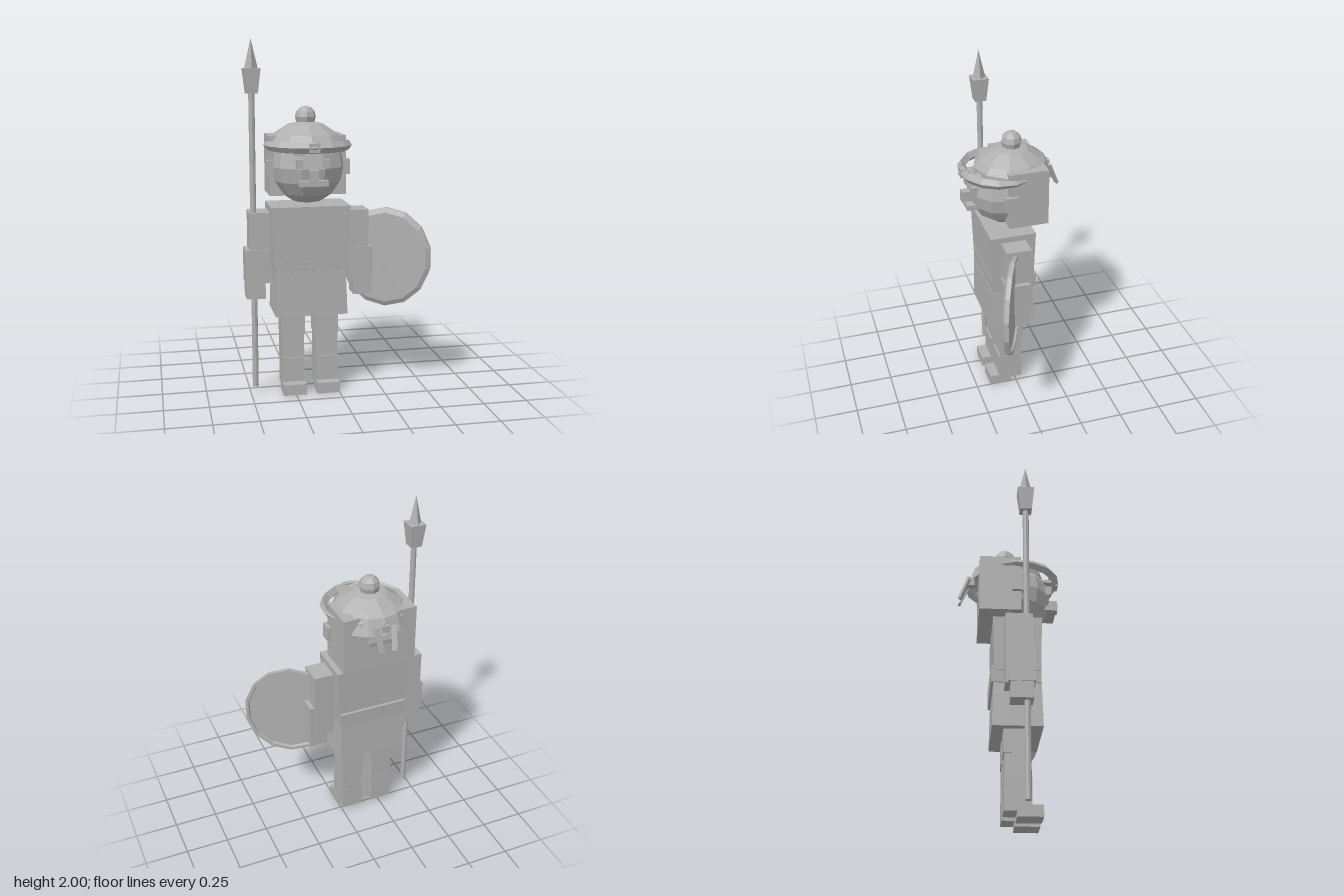
import * as THREE from 'three';

const CX = -0.16; // body centre line

export function createModel() {
  const model = new THREE.Group();
  const grey = new THREE.MeshStandardMaterial({ color: 0xb0b0b0, flatShading: true, side: THREE.DoubleSide });
  grey.name = 'stone grey';

  const add = (name, geo, x = 0, y = 0, z = 0) => {
    const g = geo.index ? geo.toNonIndexed() : geo;
    g.computeVertexNormals();
    const mesh = new THREE.Mesh(g, grey);
    mesh.name = name;
    mesh.position.set(x, y, z);
    model.add(mesh);
    return mesh;
  };
  // Box from its limits; taper scales the lower end
  const box = (name, x0, x1, y0, y1, z0, z1, taper = 1) => {
    const geo = new THREE.BoxGeometry(x1 - x0, y1 - y0, z1 - z0);
    const p = geo.attributes.position;
    for (let i = 0; i < p.count; i++) {
      if (p.getY(i) < 0) p.setXYZ(i, p.getX(i) * taper, p.getY(i), p.getZ(i) * taper);
    }
    return add(name, geo, (x0 + x1) / 2, (y0 + y1) / 2, (z0 + z1) / 2);
  };
  // Box pair mirrored about the body centre line, given by offsets from it
  const pair = (name, a, b, ...rest) => {
    box(name + 'Left', CX + a, CX + b, ...rest);
    box(name + 'Right', CX - b, CX - a, ...rest);
  };
  const lathe = (pts, sides, start = 0, length = Math.PI * 2) =>
    new THREE.LatheGeometry(pts.map(([r, y]) => new THREE.Vector2(r, y)), sides, start, length);

  // Legs and boots
  pair('upperLeg', 0.029, 0.163, 0.335, 0.47, -0.04, 0.1);
  pair('lowerLeg', 0.034, 0.16, 0.2, 0.335, -0.035, 0.098);
  pair('boot', 0.034, 0.16, 0.03, 0.205, -0.037, 0.108);
  pair('foot', 0.032, 0.162, 0, 0.062, 0.03, 0.165);

  // Torso, belt and tunic skirt
  box('torso', -0.385, 0.062, 0.78, 1.085, -0.1, 0.165, 0.94);
  box('belt', -0.367, 0.045, 0.71, 0.803, -0.11, 0.16, 0.98);
  box('skirt', -0.355, 0.035, 0.465, 0.72, -0.095, 0.16, 1.05);

  // Arms
  pair('upperArm', 0.22, 0.337, 0.65, 1.05, -0.04, 0.105);
  pair('forearm', 0.24, 0.363, 0.65, 0.84, -0.025, 0.115);
  pair('hand', 0.252, 0.358, 0.56, 0.66, -0.015, 0.105);

  // Head with hair block behind
  add('face', new THREE.SphereGeometry(0.214, 10, 8), CX, 1.3, 0.023);
  box('hair', -0.376, 0.057, 1.135, 1.467, -0.175, 0.055);
  pair('ear', 0.2, 0.237, 1.25, 1.335, 0.005, 0.075);
  pair('eye', 0.055, 0.092, 1.305, 1.355, 0.18, 0.235);
  pair('eyebrow', 0.042, 0.1, 1.375, 1.393, 0.18, 0.235);
  box('nose', CX - 0.023, CX + 0.023, 1.235, 1.3, 0.2, 0.275);
  box('mouth', CX - 0.08, CX + 0.08, 1.21, 1.24, 0.17, 0.26);

  // Helmet bowl and knob
  add('helmetBowl', lathe([[0.215, 1.4], [0.213, 1.44], [0.185, 1.475], [0.1, 1.53], [0, 1.55]], 10), CX, 0, -0.015);
  add('helmetKnob', new THREE.SphereGeometry(0.06, 8, 6), CX, 1.57, -0.022);

  // Brim: diamond cross-sections swept round the front, narrowing to the ends
  const section = [[0.027, 0], [0.005, 0.031], [-0.023, 0], [0.005, -0.031]];
  const steps = 10, verts = [], faces = [];
  for (let i = 0; i <= steps; i++) {
    const t = i / steps * 2 - 1, a = t * 2.02, k = Math.max(0.12, 1 - t ** 4);
    for (const [dr, dy] of section) {
      const r = 0.23 + dr * k;
      verts.push(r * Math.sin(a), dy * k, r * Math.cos(a));
    }
    if (i < steps) for (let j = 0; j < 4; j++) {
      const p = i * 4 + j, q = i * 4 + (j + 1) % 4;
      faces.push(p, p + 4, q + 4, p, q + 4, q);
    }
  }
  const brim = new THREE.BufferGeometry();
  brim.setAttribute('position', new THREE.Float32BufferAttribute(verts, 3));
  brim.setIndex(faces);
  add('helmetBrim', brim, CX, 1.42, 0.03);
  box('brimBadge', CX - 0.03, CX + 0.03, 1.395, 1.445, 0.25, 0.28);

  // Neck guard and ribbons at the back
  add('neckGuard', lathe([[0.245, 1.375], [0.21, 1.465], [0.18, 1.485]], 4, Math.PI * 0.74, Math.PI * 0.52), CX, 0, -0.005);
  box('ribbonKnot', CX - 0.022, CX + 0.022, 1.39, 1.43, -0.243, -0.2);
  for (const s of [-1, 1]) {
    const ribbon = add('ribbon', new THREE.BoxGeometry(0.03, 0.14, 0.014), CX + s * 0.044, 1.355, -0.255);
    ribbon.rotation.set(0.4, s * 0.3, 0, 'YXZ');
  }

  // Spear
  add('spearShaft', new THREE.CylinderGeometry(0.017, 0.017, 1.68, 8), -0.473, 0.88, 0.074);
  box('spearSocket', -0.5195, -0.4265, 1.705, 1.84, 0.0275, 0.1205, 0.7);
  add('spearTip', new THREE.ConeGeometry(0.037, 0.16, 4), -0.473, 1.92, 0.074);

  // Round shield with raised rim and hollow back
  const shieldProfile = [[0, -0.004], [0.262, -0.004], [0.268, -0.018], [0.287, -0.018], [0.287, 0.006], [0.26, 0.02], [0, 0.02]];
  const shieldGeo = lathe(shieldProfile, 14).rotateX(Math.PI / 2).scale(0.92, 1, 1);
  add('shield', shieldGeo, 0.277, 0.772, 0.108).rotation.y = -0.43;

  return model;
}
